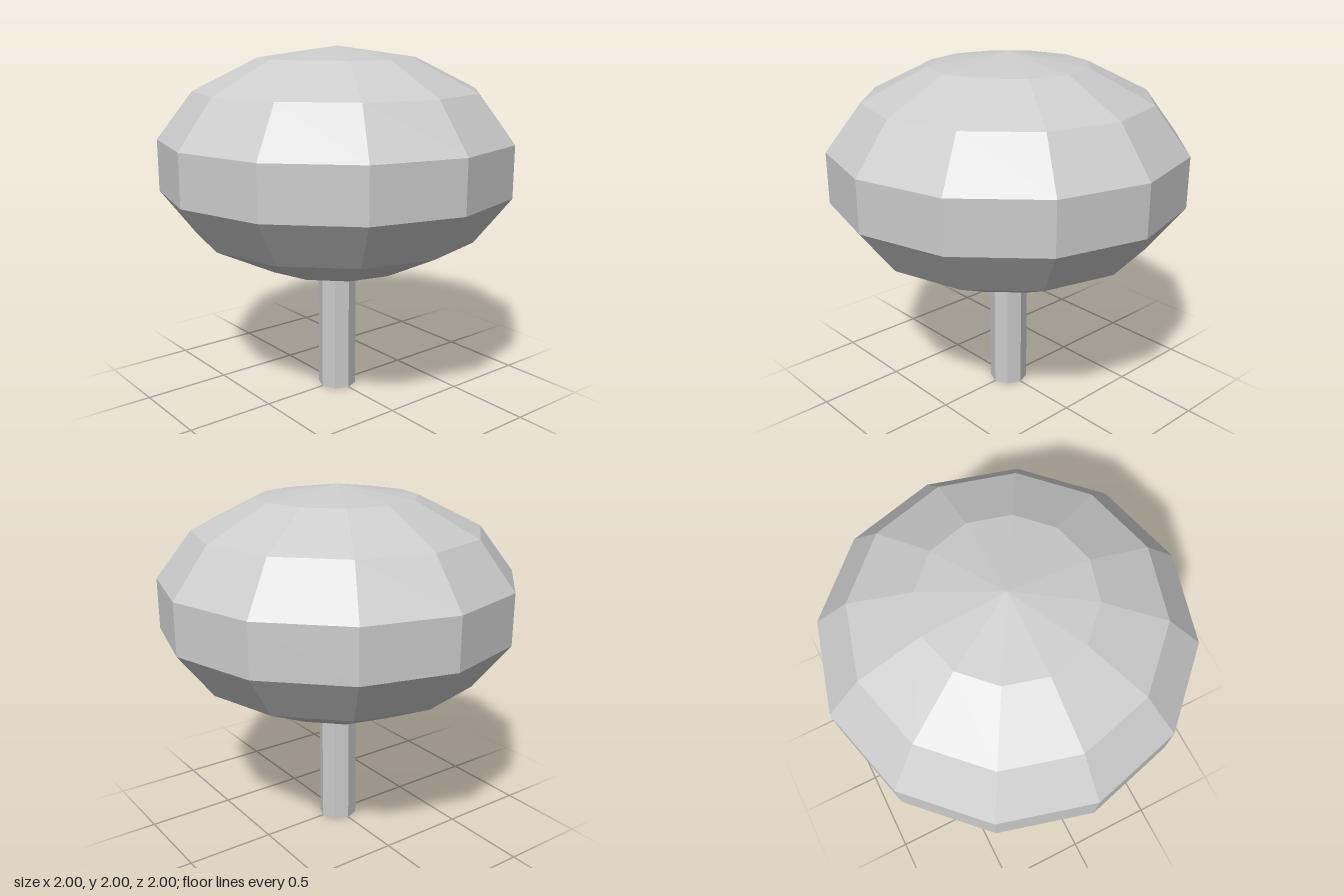
import * as THREE from 'three';

export function createModel() {
  const group = new THREE.Group();
  const grey = new THREE.MeshStandardMaterial({ color: 0xcccccc, flatShading: true });
  grey.name = 'light grey';

  // Faceted crown: 12-sided dome, straight band and mirrored underside
  const dome = [[1, 1.5], [0.8, 1.76], [0.445, 1.936], [0, 2]];
  const middle = 1.357;
  const underside = dome.map(([r, y]) => [r, 2 * middle - y]).reverse();
  const profile = [...underside, ...dome].map(([r, y]) => new THREE.Vector2(r, y));
  const crown = new THREE.Mesh(new THREE.LatheGeometry(profile, 12), grey);
  crown.name = 'crown';
  group.add(crown);

  // Octagonal stem, its top just inside the crown
  const height = 0.73;
  const stem = new THREE.Mesh(new THREE.CylinderGeometry(0.11, 0.11, height, 8), grey);
  stem.name = 'stem';
  stem.position.y = height / 2;
  group.add(stem);

  return group;
}
